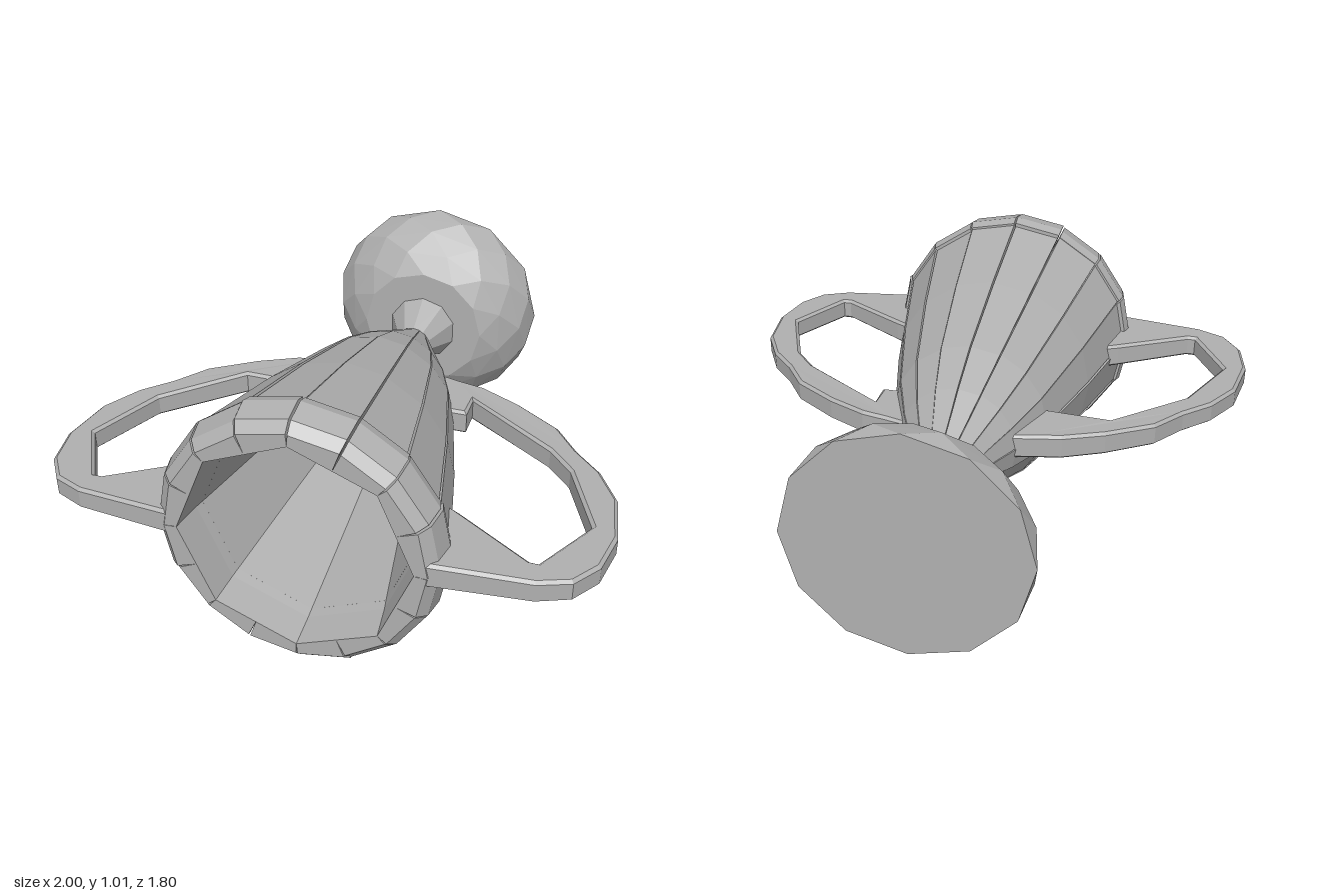
import * as THREE from 'three';
import { ConvexGeometry } from 'three/addons/geometries/ConvexGeometry.js';

const SIDES = 16;
const STEP = (Math.PI * 2) / SIDES;

// One wall segment of the cup; sections are [z, outer radius, inner radius] from front to back.
// The outer face is slightly narrower, leaving a V groove between neighbours; the inside is eight-sided.
function staveGeometry(k, sections, scale) {
  const positions = [], index = [], gap = 0.007;
  const inner = (i) => (i % 2 ? Math.cos(STEP) : 1);
  const put = (r, a, z) => positions.push(r * Math.cos(a), r * Math.sin(a), z);
  for (const [z, rOut, rIn] of sections) {
    put(rOut * scale, k * STEP + gap, z);
    put(rOut * scale, (k + 1) * STEP - gap, z);
    put(rIn * inner(k + 1), (k + 1) * STEP, z);
    put(rIn * inner(k), k * STEP, z);
  }
  const last = (sections.length - 1) * 4;
  for (let s = 0; s < last; s += 4) {
    for (let c = 0; c < 4; c++) {
      const d = (c + 1) % 4;
      index.push(s + c, s + 4 + c, s + 4 + d, s + c, s + 4 + d, s + d);
    }
  }
  index.push(0, 1, 2, 0, 2, 3, last, last + 2, last + 1, last, last + 3, last + 2);
  const g = new THREE.BufferGeometry();
  g.setAttribute('position', new THREE.Float32BufferAttribute(positions, 3));
  g.setIndex(index);
  const flat = g.toNonIndexed();
  flat.computeVertexNormals();
  return flat;
}

// Flat handle plate in the x-z plane, a little thinner towards its outer edge
function handleGeometry(points, side) {
  const shape = new THREE.Shape(points.map(([x, z]) => new THREE.Vector2(x * side, z)));
  const g = new THREE.ExtrudeGeometry(shape, {
    depth: 0.075, bevelEnabled: true, bevelThickness: 0.01, bevelSize: 0.012, bevelOffset: -0.012, bevelSegments: 1,
  });
  g.rotateX(Math.PI / 2);
  g.translate(0, 0.045, 0);
  const p = g.attributes.position;
  for (let i = 0; i < p.count; i++) {
    const t = THREE.MathUtils.clamp((Math.abs(p.getX(i)) - 0.4) / 0.6, 0, 1);
    if (p.getY(i) > 0) p.setY(i, p.getY(i) - 0.015 * t);
  }
  g.computeVertexNormals();
  return g;
}

export function createModel() {
  const model = new THREE.Group();
  model.name = 'lyingTrophy';
  const grey = new THREE.MeshStandardMaterial({ color: 0xb0b0b0, flatShading: true });
  grey.name = 'grey';

  const trophy = new THREE.Group();
  trophy.name = 'trophy';
  trophy.position.y = 0.508;
  model.add(trophy);
  const add = (parent, name, geometry) => {
    const m = new THREE.Mesh(geometry, grey);
    m.name = name;
    parent.add(m);
    return m;
  };

  // Cup body staves and rim blocks, each with its own slight unevenness
  const body = new THREE.Group();
  body.name = 'cupBody';
  const rim = new THREE.Group();
  rim.name = 'cupRim';
  trophy.add(body, rim);
  const bodySections = [
    [0.745, 0.488, 0.385], [0.35, 0.4, 0.305], [-0.02, 0.3, 0.225],
    [-0.21, 0.222, 0.13], [-0.3, 0.175, 0], [-0.52, 0.065, 0],
  ];
  const rimSections = [[0.9, 0.455, 0.41], [0.865, 0.49, 0.405], [0.78, 0.507, 0.393], [0.74, 0.495, 0.384]];
  for (let k = 0; k < SIDES; k++) {
    add(body, 'stave', staveGeometry(k, bodySections, 1 - 0.018 * ((k * 7) % 5) / 4));
    add(rim, 'rimBlock', staveGeometry(k, rimSections, 1 - 0.012 * ((k * 3) % 4) / 3));
  }

  // Handles share their outer curve; the rear joints differ a little
  const outer = [
    [0.43, 0.9], [0.79, 0.865], [0.9, 0.82], [0.97, 0.72], [1, 0.56], [0.97, 0.36], [0.89, 0.22],
    [0.79, 0.12], [0.7, 0], [0.53, -0.11], [0.38, -0.18], [0.28, -0.2], [0.19, -0.22],
  ];
  const innerFront = [[0.79, 0.25], [0.91, 0.53], [0.78, 0.765], [0.75, 0.765], [0.48, 0.6], [0.42, 0.57]];
  const leftJoint = [[0.26, 0.02], [0.36, 0.02], [0.36, -0.08], [0.7, 0.15]];
  const rightJoint = [[0.26, 0.01], [0.53, 0]];
  add(trophy, 'leftHandle', handleGeometry([...outer, ...leftJoint, ...innerFront], 1));
  add(trophy, 'rightHandle', handleGeometry([...outer, ...rightJoint, ...innerFront], -1));

  // Flared stem
  const stem = add(trophy, 'stem', new THREE.CylinderGeometry(0.065, 0.143, 0.15, 10));
  stem.rotation.x = Math.PI / 2;
  stem.position.z = -0.582;

  // Faceted domed foot made from staggered rings
  const rings = [[-0.9, 0.435], [-0.83, 0.43], [-0.765, 0.395], [-0.7, 0.33], [-0.65, 0.25]];
  const points = [];
  rings.forEach(([z, r], j) => {
    for (let i = 0; i < 12; i++) {
      const a = ((i + (j % 2) / 2) / 12) * Math.PI * 2;
      points.push(new THREE.Vector3(r * Math.cos(a), r * Math.sin(a), z));
    }
  });
  add(trophy, 'foot', new ConvexGeometry(points));

  return model;
}
